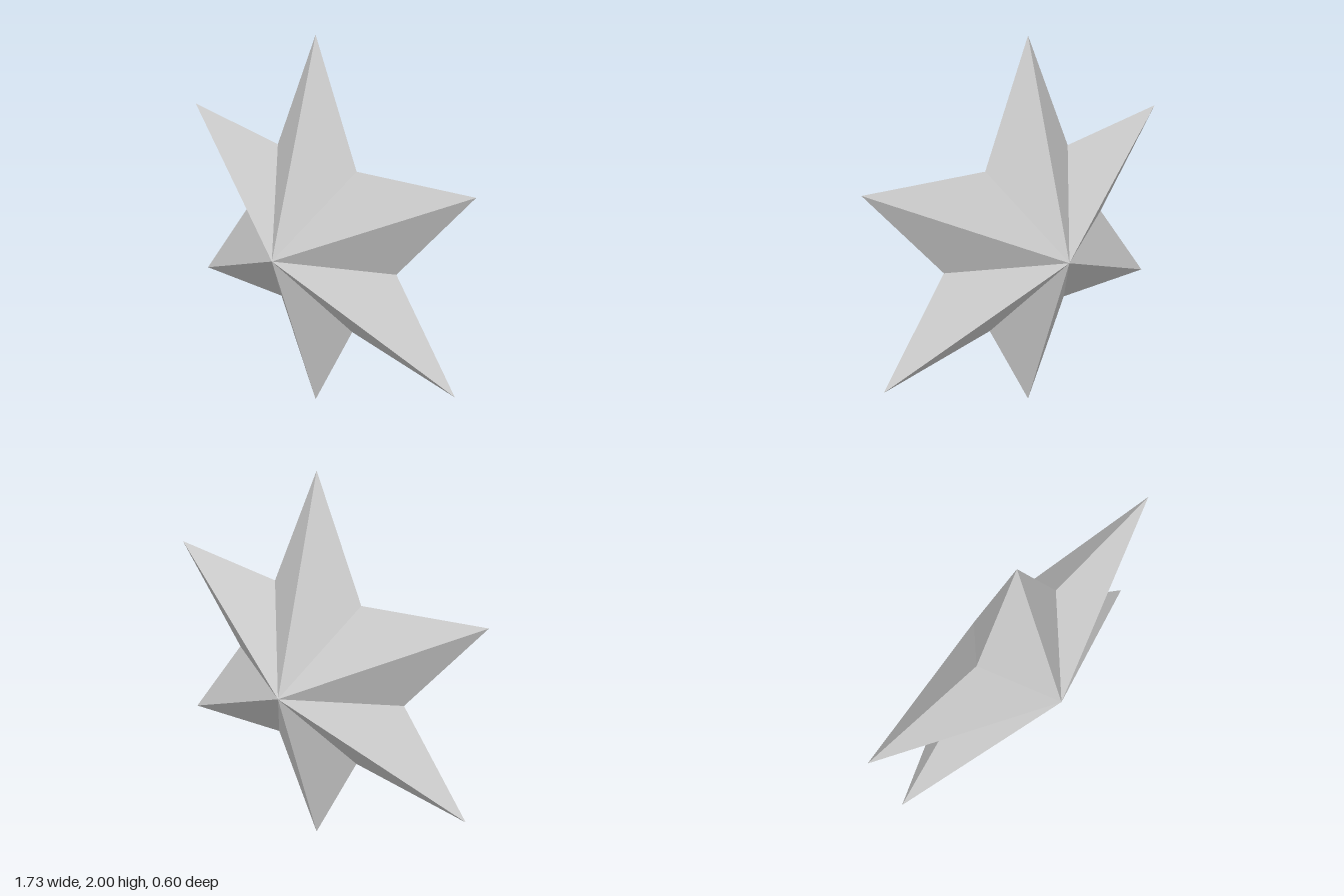
import * as THREE from 'three';

const POINTS = 6, OUTER = 1, INNER = 0.5, DEPTH = 0.3;

// Faceted star: a zigzag rim joined to a front and a back apex
function starGeometry() {
  const rim = [];
  for (let i = 0; i < POINTS * 2; i++) {
    const angle = Math.PI / 2 + (i * Math.PI) / POINTS;
    const r = i % 2 === 0 ? OUTER : INNER;
    rim.push([Math.cos(angle) * r, Math.sin(angle) * r, 0]);
  }
  const positions = [];
  rim.forEach((a, i) => {
    const b = rim[(i + 1) % rim.length];
    positions.push(...a, ...b, 0, 0, DEPTH); // front facet
    positions.push(...b, ...a, 0, 0, -DEPTH); // back facet
  });
  const geometry = new THREE.BufferGeometry();
  geometry.setAttribute('position', new THREE.Float32BufferAttribute(positions, 3));
  geometry.computeVertexNormals();
  return geometry;
}

export function createModel() {
  const group = new THREE.Group();
  group.name = 'sixPointedStar';
  const material = new THREE.MeshStandardMaterial({ color: 0xcccccc, flatShading: true });
  const star = new THREE.Mesh(starGeometry(), material);
  star.name = 'star';
  star.position.y = OUTER; // lowest tip rests on the ground
  group.add(star);
  return group;
}
